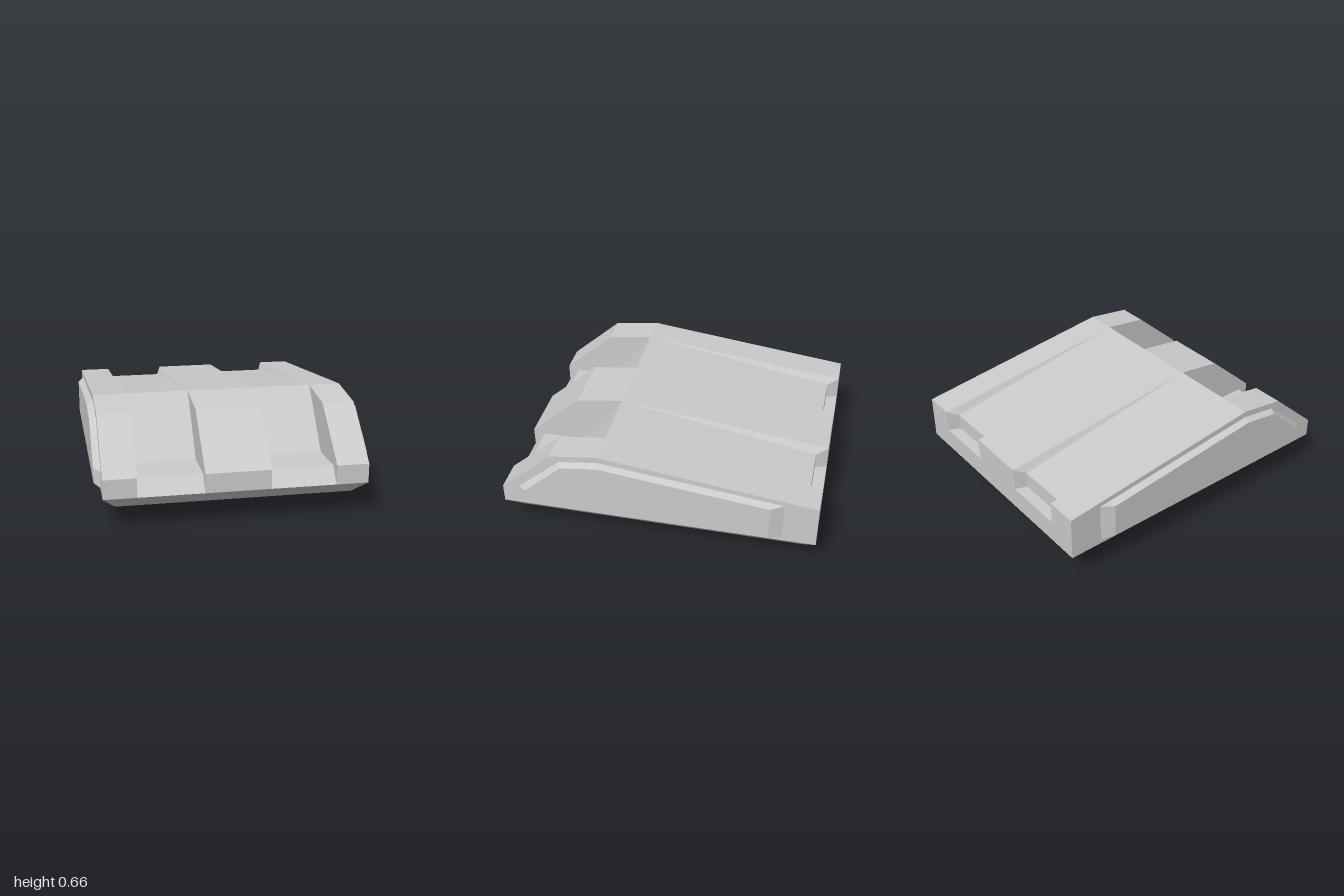
import * as THREE from 'three';
import { ConvexGeometry } from 'three/addons/geometries/ConvexGeometry.js';

const grey = new THREE.MeshStandardMaterial({ color: 0xcccccc, flatShading: true });
const thin = new THREE.MeshStandardMaterial({ color: 0xcccccc, side: THREE.DoubleSide });

export function createModel() {
  const group = new THREE.Group();

  const add = (name, geometry, material = grey) => {
    const mesh = new THREE.Mesh(geometry, material);
    mesh.name = name;
    group.add(mesh);
  };
  const hull = (points) => new ConvexGeometry(points.map((p) => new THREE.Vector3(...p)));

  // Extrudes a [z, y] side profile across the width, centred on x
  const slab = (profile, width, x) => {
    const shape = new THREE.Shape(profile.map(([z, y]) => new THREE.Vector2(z, y)));
    const geometry = new THREE.ExtrudeGeometry(shape, { depth: width, bevelEnabled: false });
    return geometry.rotateY(-Math.PI / 2).translate(x + width / 2, 0, 0);
  };

  // Raised ribs: one in the middle, one along each side
  const ribProfile = [[-1, 0.205], [1, 0.205], [1, 0.325], [0.665, 0.62], [0.365, 0.66], [-1, 0.49]];
  add('centreRib', slab(ribProfile, 0.4, 0));

  // Sunken channels, with a shelf in front and a notch at the back
  const channelProfile = [
    [-1, 0.205], [1, 0.205], [0.925, 0.3], [0.665, 0.3], [0.365, 0.66],
    [-0.925, 0.45], [-0.925, 0.345], [-1, 0.345],
  ];

  // Side panel outlines [z, y]: against the body, and on the raised face
  const panelOuter = [[0.89, 0.235], [0.89, 0.34], [0.61, 0.585], [0.365, 0.62], [-0.79, 0.485], [-0.79, 0.235]];
  const panelInner = [[0.84, 0.253], [0.84, 0.345], [0.59, 0.57], [0.36, 0.602], [-0.71, 0.475], [-0.71, 0.253]];

  for (const [s, side] of [[1, 'left'], [-1, 'right']]) {
    add(side + 'Rib', slab(ribProfile, 0.2, s * 0.7));
    add(side + 'Channel', slab(channelProfile, 0.4, s * 0.4));

    // Slanted channel walls, widening towards the back
    for (const [wall, lean] of [[0.6, -0.03], [0.2, 0.03]]) {
      const x = s * wall;
      const foot = s * (wall + lean);
      add(side + 'ChannelWall', hull([
        [x, 0.66, 0.365], [x, 0.49, -1], [x, 0.345, -1], [x, 0.345, -0.925],
        [foot, 0.45, -0.925], [foot, 0.345, -0.925],
      ]));
    }

    add(side + 'Panel', hull([
      ...panelOuter.map(([z, y]) => [s * 0.8, y, z]),
      ...panelInner.map(([z, y]) => [s * 0.84, y, z]),
    ]));
  }

  // Bevelled underside
  const base = [];
  for (const sx of [1, -1]) {
    for (const sz of [1, -1]) {
      base.push([sx * 0.8, 0.205, sz], [sx * 0.725, 0.123, sz * 0.91]);
    }
  }
  add('base', hull(base));

  // Open mounting ring
  const ring = new THREE.CylinderGeometry(0.545, 0.545, 0.123, 20, 1, true);
  add('mountingRing', ring.translate(0, 0.0615, 0), thin);

  return group;
}
